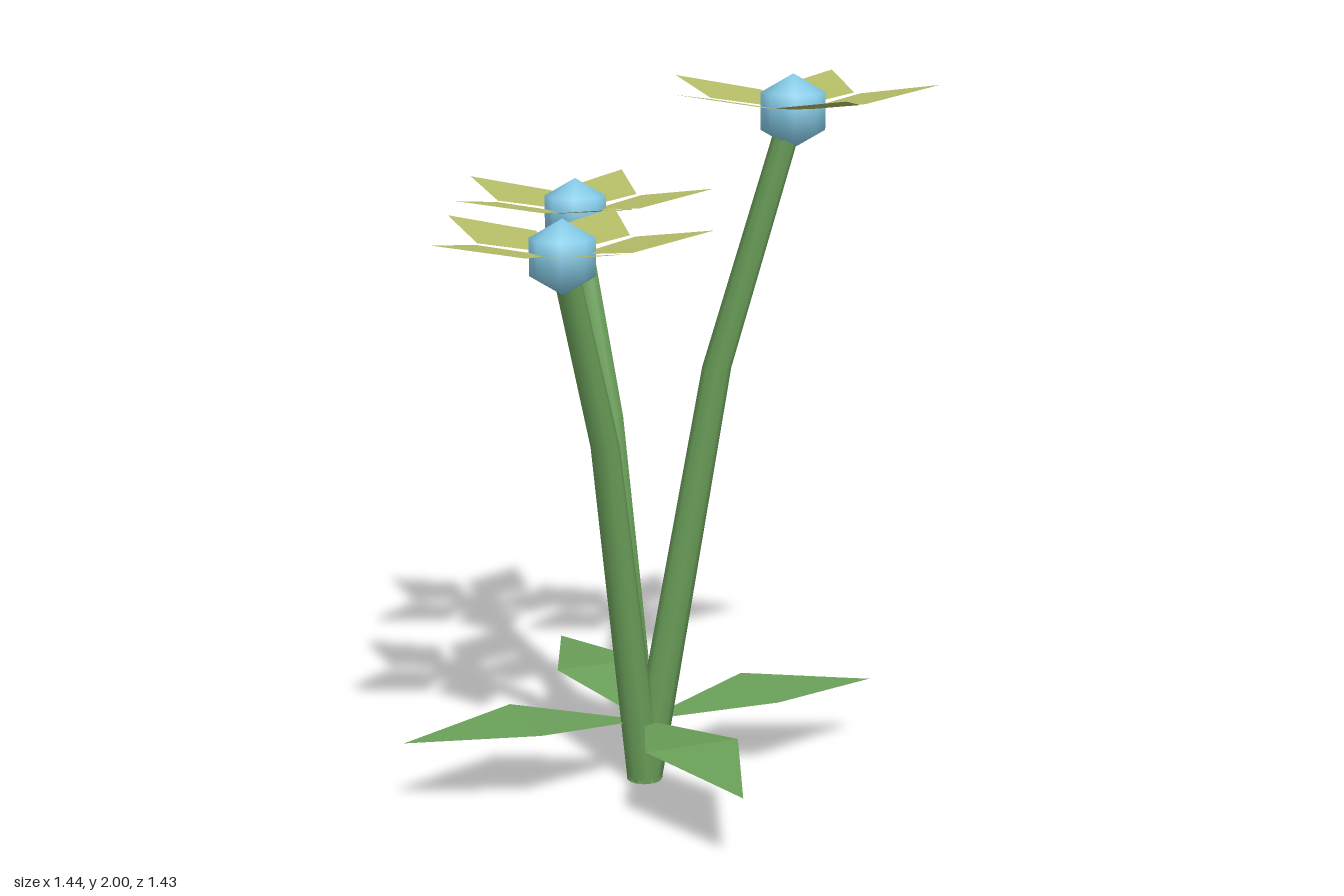
import * as THREE from 'three';

const stemMat = new THREE.MeshStandardMaterial({ color: 0x6ba05a });
const leafMat = new THREE.MeshStandardMaterial({ color: 0x6ba05a, side: THREE.DoubleSide, flatShading: true });
const petalMat = new THREE.MeshStandardMaterial({ color: 0xb4bc66, side: THREE.DoubleSide, flatShading: true });
const budMat = new THREE.MeshStandardMaterial({ color: 0x87ceeb });

// Kite-shaped blade along +x; base, wide and tip are [x, y] in the middle plane
function kite(base, wide, tip, halfWidth) {
  const geo = new THREE.BufferGeometry();
  geo.setAttribute('position', new THREE.Float32BufferAttribute([
    ...base, 0,
    ...wide, halfWidth,
    ...tip, 0,
    ...wide, -halfWidth,
  ], 3));
  geo.setIndex([0, 1, 3, 1, 2, 3]);
  geo.computeVertexNormals();
  return geo;
}

// Places count copies of a blade in a ring around the y axis
function ring(parent, name, geo, mat, count, start) {
  for (let i = 0; i < count; i++) {
    const blade = new THREE.Mesh(geo, mat);
    blade.name = name;
    blade.rotation.y = start + (i * Math.PI * 2) / count;
    parent.add(blade);
  }
}

// Stem with one bend, leaning toward +x: rows are [offset, height, radius]
function stemGeometry(rows) {
  const geo = new THREE.CylinderGeometry(1, 1, 2, 8, rows.length - 1);
  const pos = geo.attributes.position;
  for (let i = 0; i < pos.count; i++) {
    const [offset, height, radius] = rows[Math.round(pos.getY(i) + 1)];
    pos.setXYZ(i, offset + pos.getX(i) * radius, height, pos.getZ(i) * radius);
  }
  geo.computeVertexNormals();
  return geo;
}

export function createModel() {
  const plant = new THREE.Group();
  plant.name = 'flowerPlant';

  const root = new THREE.Group();
  root.name = 'root';
  root.position.x = -0.07;
  plant.add(root);

  const petalGeo = kite([0.04, 0.007], [0.185, 0.033], [0.39, 0.07], 0.119);
  const budGeo = new THREE.SphereGeometry(0.1, 8, 3);
  const reach = 0.4;

  // One tall flower and two shorter ones, spread evenly around the root
  [[1.9, 1.2], [1.567, 1.02], [1.567, 1.02]].forEach(([top, bend], i) => {
    const angle = (i * Math.PI * 2) / 3;

    const stem = new THREE.Mesh(
      stemGeometry([[0, 0, 0.05], [reach / 2, bend, 0.04], [reach, top, 0.035]]), stemMat);
    stem.name = 'stem';
    stem.rotation.y = angle;
    root.add(stem);

    const bloom = new THREE.Group();
    bloom.name = 'bloom';
    bloom.position.set(reach * Math.cos(angle), top, -reach * Math.sin(angle));
    const bud = new THREE.Mesh(budGeo, budMat);
    bud.name = 'flowerCentre';
    bloom.add(bud);
    ring(bloom, 'petal', petalGeo, petalMat, 5, 0);
    root.add(bloom);
  });

  // Four ground leaves that rise to the middle and droop at the tip
  const leafGeo = kite([0, 0.175], [0.355, 0.225], [0.705, 0.205], 0.135);
  ring(root, 'leaf', leafGeo, leafMat, 4, Math.PI / 8);

  return plant;
}
